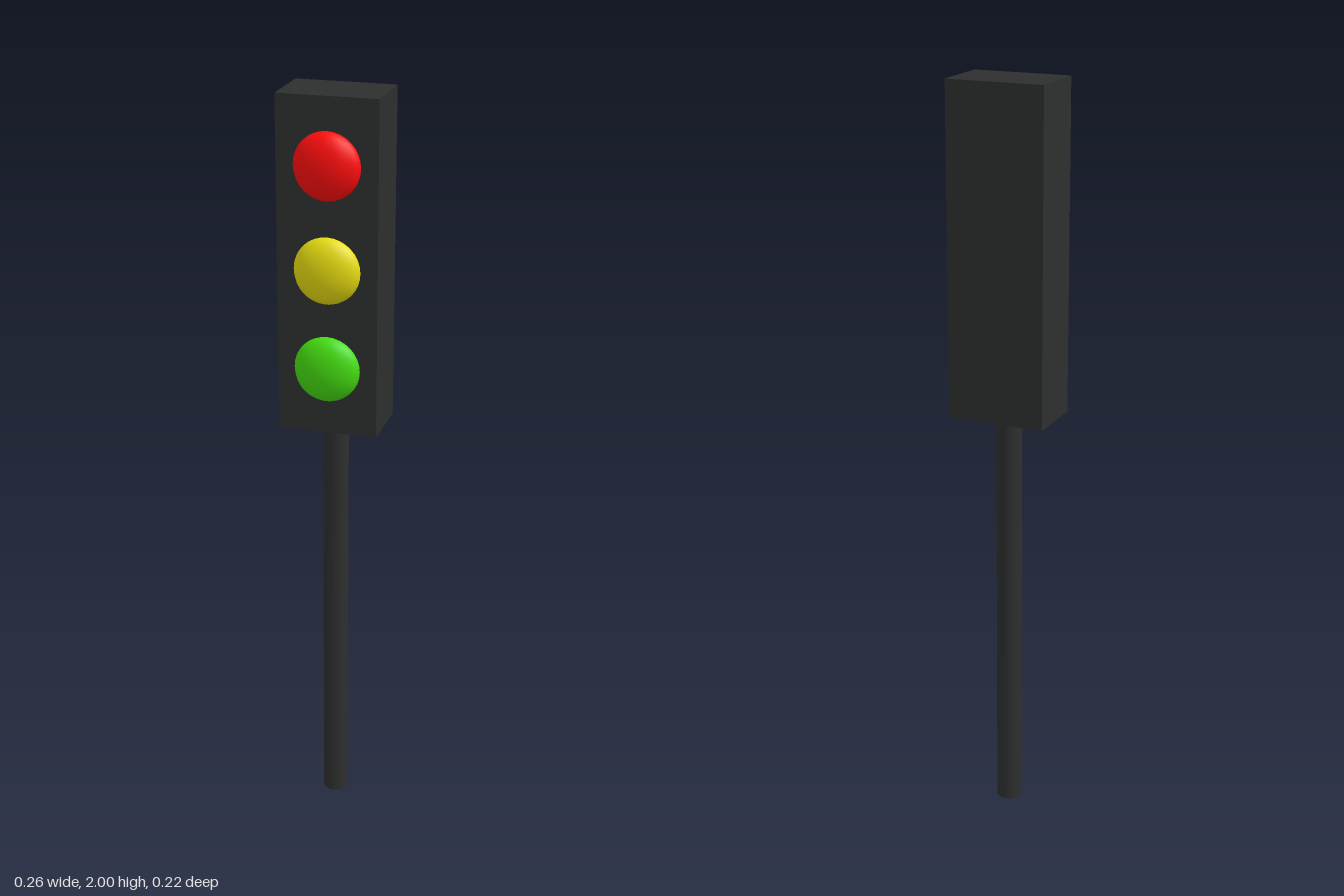
import * as THREE from 'three';
import { mergeVertices } from 'three/addons/utils/BufferGeometryUtils.js';

const material = (color) => new THREE.MeshStandardMaterial({ color });

export function createModel() {
  const model = new THREE.Group();
  model.name = 'trafficLight';

  const add = (name, geometry, color, x, y, z) => {
    const mesh = new THREE.Mesh(geometry, material(color));
    mesh.name = name;
    mesh.position.set(x, y, z);
    model.add(mesh);
    return mesh;
  };

  // Signal housing
  add('housing', new THREE.BoxGeometry(0.26, 0.866, 0.172), 0x2d2f2f, 0, 1.567, -0.022);

  // Pole, with normals blended smoothly into its end caps
  const pole = new THREE.CylinderGeometry(0.034, 0.034, 1.16, 16);
  pole.deleteAttribute('normal');
  pole.deleteAttribute('uv');
  const smoothPole = mergeVertices(pole);
  smoothPole.computeVertexNormals();
  add('pole', smoothPole, 0x2d2f2f, 0, 0.58, -0.018);

  // Flattened half-dome lamps on the front face
  const dome = new THREE.SphereGeometry(1, 8, 16, 0, Math.PI);
  const lamps = [
    ['redLamp', 0xff0d0d, 1.83],
    ['yellowLamp', 0xe6dc10, 1.567],
    ['greenLamp', 0x44dd10, 1.308],
  ];
  for (const [name, color, y] of lamps) {
    add(name, dome, color, 0, y, 0.064).scale.set(0.086, 0.086, 0.043);
  }

  return model;
}
